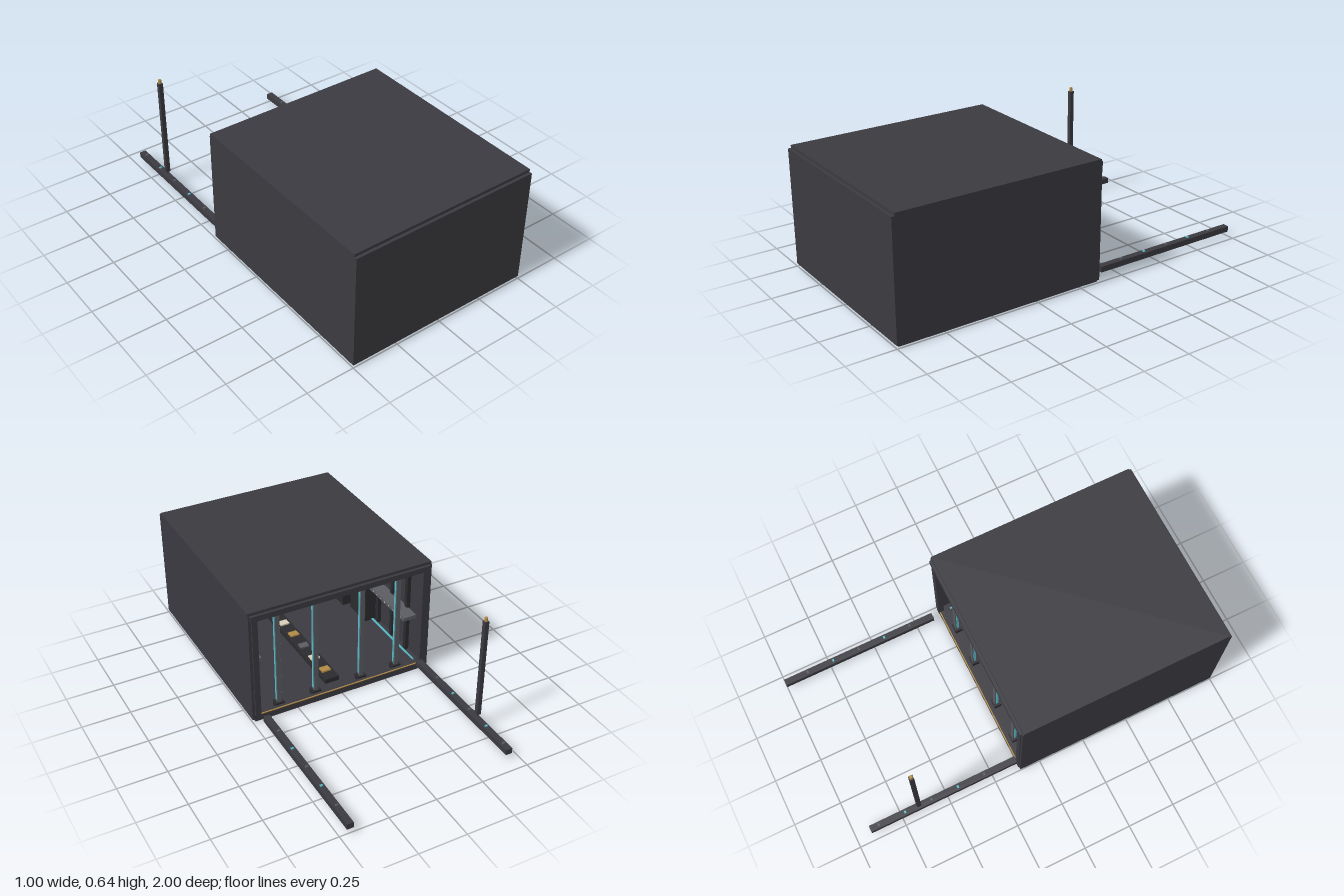
import * as THREE from 'three';

const paint = (name, color) => {
  const m = new THREE.MeshStandardMaterial({ color });
  m.name = name;
  return m;
};

export function createModel() {
  const model = new THREE.Group();
  const shell = paint('charcoal shell', 0x3b3a40);
  const dark = paint('dark metal', 0x2b2b2f);
  const steel = paint('grey steel', 0x5a5c62);
  const cyan = paint('cyan light', 0x58b8c8);
  const brass = paint('brass', 0xb08a45);
  const cream = paint('cream', 0xd8cfb8);

  // box given by its limits on each axis
  const box = (name, mat, x0, x1, y0, y1, z0, z1, parent = model) => {
    const mesh = new THREE.Mesh(new THREE.BoxGeometry(x1 - x0, y1 - y0, z1 - z0), mat);
    mesh.position.set((x0 + x1) / 2, (y0 + y1) / 2, (z0 + z1) / 2);
    mesh.name = name;
    parent.add(mesh);
    return mesh;
  };

  // room shell, open at the back
  box('floor', shell, -0.485, 0.485, 0, 0.015, -0.11, 0.985);
  box('roof', shell, -0.5, 0.5, 0.62, 0.635, -0.105, 0.985);
  box('frontWall', shell, -0.5, 0.5, 0.015, 0.62, 0.985, 1);
  for (const s of [-1, 1]) {
    const [a, b] = [s * 0.485, s * 0.5].sort((p, q) => p - q);
    box('sideWall', shell, a, b, 0.015, 0.62, -0.11, 0.985);
  }

  // frame around the opening
  const frame = new THREE.Group();
  frame.name = 'openingFrame';
  model.add(frame);
  box('lintel', shell, -0.49, 0.49, 0.59, 0.62, -0.12, -0.085, frame);
  box('threshold', shell, -0.485, 0.485, 0.015, 0.035, -0.112, -0.085, frame);
  box('thresholdStrip', brass, -0.45, 0.45, 0.035, 0.039, -0.112, -0.106, frame);
  box('lintelStrip', brass, -0.45, 0.45, 0.587, 0.59, -0.1, -0.094, frame);
  for (const s of [-1, 1]) {
    const jamb = box('jamb', shell, -0.015, 0.015, 0.015, 0.59, -0.114, -0.085, frame);
    jamb.position.x = s * 0.468;
  }

  // columns with light strips front and back
  for (const x of [-0.335, -0.13, 0.13, 0.335]) {
    const column = new THREE.Group();
    column.name = 'column';
    column.position.set(x, 0, -0.065);
    model.add(column);
    box('columnBase', dark, -0.023, 0.023, 0.015, 0.045, -0.02, 0.02, column);
    box('columnShaft', steel, -0.012, 0.012, 0.045, 0.6, -0.012, 0.012, column);
    box('columnCap', dark, -0.02, 0.02, 0.6, 0.62, -0.02, 0.02, column);
    for (const s of [-1, 1]) {
      const strip = box('columnLight', cyan, -0.002, 0.002, 0.06, 0.59, -0.006, 0.006, column);
      strip.position.x = s * 0.013;
    }
  }

  // ceiling beams and wall ribs
  for (let i = 0; i < 7; i++) {
    const z = 0.06 + i * 0.145;
    box('ceilingBeam', dark, -0.485, 0.485, 0.59, 0.62, z - 0.012, z + 0.012);
    for (const s of [-1, 1]) {
      const rib = box('wallRib', dark, -0.01, 0.01, 0.015, 0.59, z - 0.012, z + 0.012);
      rib.position.x = s * 0.475;
    }
  }
  for (const s of [-1, 1]) {
    const strip = box('floorLight', cyan, -0.004, 0.004, 0.015, 0.022, -0.05, 0.97);
    strip.position.x = s * 0.455;
  }

  // shelves on the left wall
  box('wallShelf', steel, 0.39, 0.475, 0.27, 0.285, 0, 0.5);
  box('shelfLight', cyan, 0.458, 0.464, 0.36, 0.366, 0, 0.5);
  for (const z of [0.6, 0.7, 0.8, 0.9]) {
    box('rack', dark, 0.42, 0.475, 0.015, 0.5, z - 0.025, z + 0.025);
  }

  // workbench and stepped cabinets on the right wall
  box('workbench', steel, -0.475, -0.4, 0.26, 0.28, -0.03, 0.33);
  for (let i = 0; i < 8; i++) {
    box('benchStud', cream, -0.405, -0.399, 0.267, 0.273, i * 0.04, i * 0.04 + 0.006);
  }
  for (let i = 0; i < 3; i++) {
    const z = 0.38 + i * 0.2;
    box('cabinet', dark, -0.475, -0.41 + i * 0.03, 0.015, 0.57, z, z + 0.17);
  }

  // low display track on the floor
  box('track', dark, -0.03, 0.05, 0.015, 0.04, -0.02, 0.85);
  for (let i = 0; i < 7; i++) {
    const z = 0.04 + i * 0.12;
    box('trackItem', [brass, cream, steel][i % 3], -0.015, 0.035, 0.04, 0.048, z, z + 0.04);
  }

  // outdoor rails with studs
  const rails = [[-0.45, -0.92, -0.112], [0.445, -1, -0.155]];
  for (const [x, z0, z1] of rails) {
    box('rail', shell, x - 0.017, x + 0.017, 0.025, 0.055, z0, z1);
    [-0.29, -0.437, -0.583, -0.728, -0.873].forEach((z, i) => {
      box('railStud', i % 2 ? cyan : steel, x - 0.007, x + 0.007, 0.055, 0.061, z - 0.005, z + 0.005);
    });
  }

  // upright pole with brass tip
  box('pole', shell, -0.461, -0.439, 0.08, 0.622, -0.664, -0.642);
  const tip = new THREE.Mesh(new THREE.CylinderGeometry(0.008, 0.009, 0.02, 12), brass);
  tip.name = 'poleTip';
  tip.position.set(-0.45, 0.632, -0.653);
  model.add(tip);

  return model;
}
